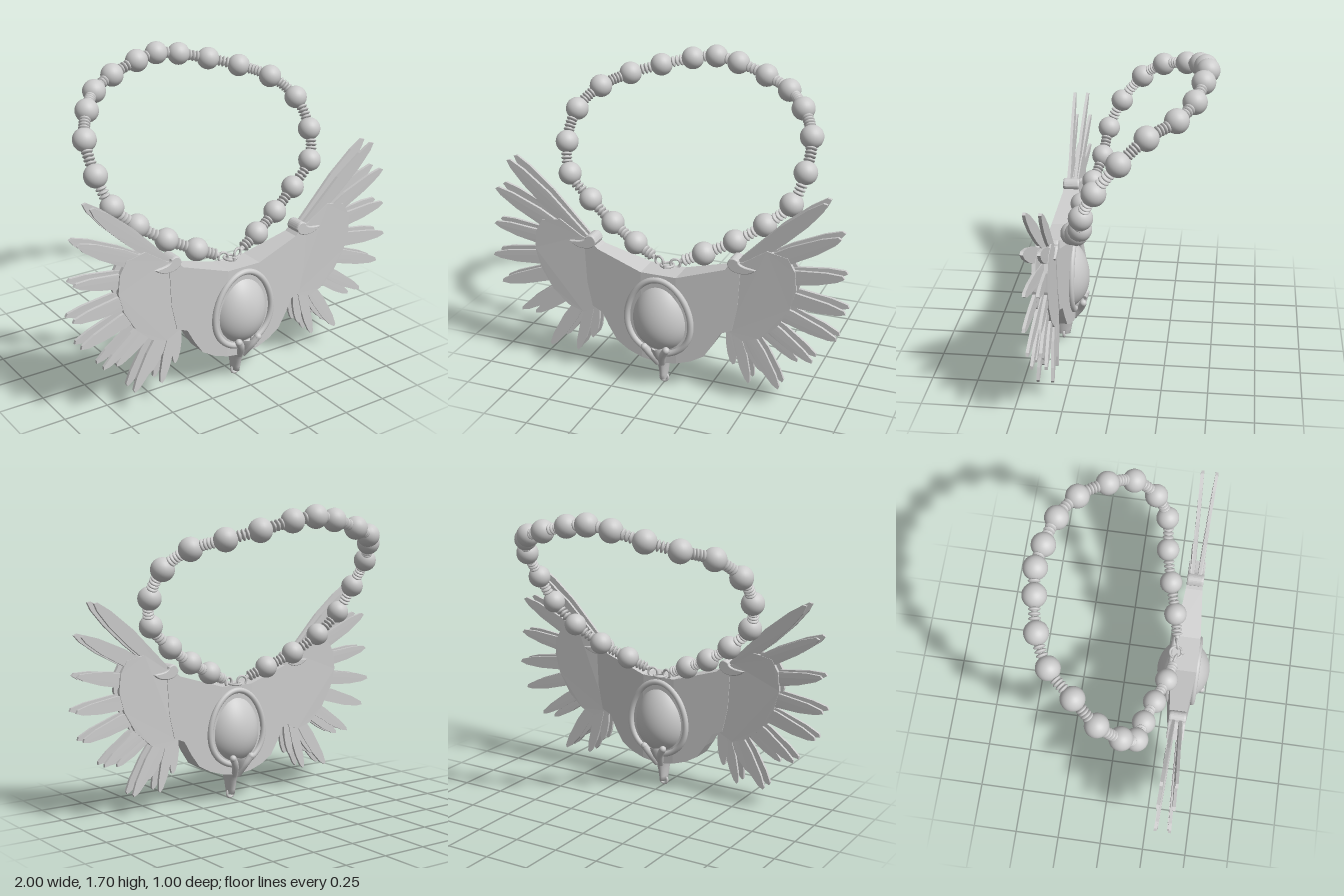
import * as THREE from 'three';

const Z = 0.348; // middle plane of the pendant
const mat = new THREE.MeshStandardMaterial({ color: 0xcccccc, side: THREE.DoubleSide });
const flat = new THREE.MeshStandardMaterial({ color: 0xcccccc, side: THREE.DoubleSide, flatShading: true });

function add(parent, name, geometry, material = mat) {
  const mesh = new THREE.Mesh(geometry, material);
  mesh.name = name;
  parent.add(mesh);
  return mesh;
}

// Extrudes an outline to unit depth, then sets each z by a rule
function plate(points, s, zRule) {
  const shape = new THREE.Shape(points.map(([x, y]) => new THREE.Vector2(x * s, y)));
  const geo = new THREE.ExtrudeGeometry(shape, { depth: 1, bevelEnabled: false });
  const p = geo.attributes.position;
  for (let i = 0; i < p.count; i++) {
    p.setZ(i, zRule(Math.abs(p.getX(i)), p.getY(i), p.getZ(i) * 2 - 1));
  }
  geo.computeVertexNormals();
  return geo;
}

// Tapered blade outline with a blunt tip
function featherOutline([rx, ry, tx, ty, w]) {
  const dx = tx - rx, dy = ty - ry, len = Math.hypot(dx, dy);
  const at = (t, k) => [rx + dx * t - (dy / len) * k * w, ry + dy * t + (dx / len) * k * w];
  return [at(0, -0.3), at(0.5, -0.5), at(0.75, -0.45), at(0.93, -0.26), at(1, -0.05),
    at(0.98, 0.16), at(0.84, 0.36), at(0.55, 0.5), at(0, 0.3)];
}

// Root x, root y, tip x, tip y, width
const FEATHERS = [
  [0.42, 0.77, 0.88, 1.19, 0.085], [0.42, 0.74, 0.96, 1.02, 0.085],
  [0.42, 0.71, 0.985, 0.81, 0.08], [0.43, 0.67, 1.0, 0.62, 0.08],
  [0.42, 0.63, 0.96, 0.46, 0.08], [0.42, 0.59, 0.84, 0.31, 0.07],
  [0.42, 0.55, 0.76, 0.3, 0.065], [0.41, 0.52, 0.665, 0.12, 0.075],
  [0.41, 0.48, 0.57, 0.2, 0.06], [0.4, 0.47, 0.5, 0.12, 0.06], [0.38, 0.45, 0.41, 0.21, 0.055],
];
const COVERT = [[0.38, 0.78], [0.46, 0.81], [0.58, 0.89], [0.69, 0.87], [0.73, 0.8], [0.74, 0.7],
  [0.71, 0.59], [0.64, 0.47], [0.55, 0.39], [0.46, 0.36], [0.38, 0.4]];

function wing(s) {
  const group = new THREE.Group();
  group.name = s > 0 ? 'leftWing' : 'rightWing';
  // Front and back layers spread apart toward the tips
  for (const side of [1, -1]) {
    const spread = (thick, step) => (x, y, e) =>
      Z + side * (0.012 + step + 0.038 * Math.hypot(x - 0.42, y - 0.65)) + e * thick;
    FEATHERS.forEach((f, i) =>
      add(group, 'feather', plate(featherOutline(f), s, spread(0.008, (i % 2) * 0.005)), flat));
    add(group, 'covert', plate(COVERT, s, spread(0.01, 0.006)), flat);
  }
  // Curled hook at the wing's wrist
  const hook = new THREE.Shape();
  hook.moveTo(0.375 * s, 0.79);
  hook.quadraticCurveTo(0.39 * s, 0.835, 0.425 * s, 0.81);
  hook.quadraticCurveTo(0.43 * s, 0.775, 0.52 * s, 0.775);
  hook.quadraticCurveTo(0.47 * s, 0.735, 0.405 * s, 0.755);
  hook.quadraticCurveTo(0.38 * s, 0.765, 0.375 * s, 0.79);
  const geo = new THREE.ExtrudeGeometry(hook,
    { depth: 0.07, bevelThickness: 0.012, bevelSize: 0.006, bevelSegments: 3, curveSegments: 8 });
  add(group, 'wristHook', geo.translate(0, 0, Z - 0.035));
  return group;
}

function body() {
  const group = new THREE.Group();
  group.name = 'body';
  const rule = (x, y, e) => Z + e * (x < 0.11 ? 0.073 : 0.073 - 0.1 * (x - 0.1));
  const half = [[0.1, 0.17], [0.18, 0.195], [0.25, 0.235], [0.3, 0.31], [0.34, 0.385], [0.4, 0.41],
    [0.43, 0.55], [0.44, 0.76], [0.41, 0.8], [0.36, 0.755], [0.1, 0.675]];
  add(group, 'chest', plate([[-0.1, 0.17], [0, 0.155], [0.1, 0.17], [0.1, 0.675], [-0.1, 0.675]], 1, rule), flat);
  for (const s of [1, -1]) add(group, 'shoulder', plate(half, s, rule), flat);
  return group;
}

// Egg-shaped half width at angle a, narrower at the top
const eggX = (a) => Math.cos(a) * (1 - 0.13 * Math.sin(a));

function gem() {
  const group = new THREE.Group();
  group.name = 'gem';
  const profile = [];
  for (let i = 0; i <= 32; i++) {
    const a = -Math.PI / 2 + (Math.PI * i) / 32;
    profile.push(new THREE.Vector2(Math.max(0, eggX(a)) * 0.167, Math.sin(a) * 0.21));
  }
  const egg = add(group, 'eggStone', new THREE.LatheGeometry(profile, 48));
  egg.scale.z = 0.9;
  egg.position.set(0, 0.425, Z);
  // Raised rims on both faces
  for (const side of [1, -1]) {
    const pts = [];
    for (let i = 0; i < 40; i++) {
      const a = (i / 40) * Math.PI * 2;
      pts.push(new THREE.Vector3(eggX(a) * 0.181, 0.43 + Math.sin(a) * 0.215, Z + side * 0.073));
    }
    add(group, 'rim', new THREE.TubeGeometry(new THREE.CatmullRomCurve3(pts, true), 80, 0.017, 10, true));
  }
  return group;
}

function tail() {
  const group = new THREE.Group();
  group.name = 'tail';
  // Flattened cup lofted from half width and half depth at each height
  const rows = [[0.03, 0.018, 0.036], [0.06, 0.021, 0.042], [0.11, 0.026, 0.052], [0.16, 0.034, 0.075],
    [0.2, 0.048, 0.105], [0.24, 0.058, 0.128], [0.262, 0.05, 0.135]];
  const sides = 20, pos = [], idx = [];
  rows.forEach(([y, rx, rz], j) => {
    for (let i = 0; i < sides; i++) {
      const a = (i / sides) * Math.PI * 2;
      pos.push(Math.cos(a) * rx, y, Z + Math.sin(a) * rz);
      if (!j) continue;
      const k = (i + 1) % sides, lo = (j - 1) * sides, hi = j * sides;
      idx.push(lo + i, hi + i, lo + k, lo + k, hi + i, hi + k);
    }
  });
  for (let i = 1; i < sides - 1; i++) idx.push(0, i, i + 1);
  const geo = new THREE.BufferGeometry();
  geo.setAttribute('position', new THREE.Float32BufferAttribute(pos, 3));
  geo.setIndex(idx);
  geo.computeVertexNormals();
  add(group, 'tailCup', geo);
  // Prongs that grip the stone, front and back
  for (const side of [1, -1]) for (const s of [1, -1]) {
    const curve = new THREE.CatmullRomCurve3([
      new THREE.Vector3(0.012 * s, 0.15, Z + side * 0.058),
      new THREE.Vector3(0.035 * s, 0.22, Z + side * 0.105),
      new THREE.Vector3(0.062 * s, 0.265, Z + side * 0.122)]);
    add(group, 'prong', new THREE.TubeGeometry(curve, 12, 0.02, 8));
    const end = add(group, 'prongTip', new THREE.SphereGeometry(0.02, 10, 8));
    end.position.copy(curve.getPoint(1));
  }
  add(group, 'tailRing', new THREE.TorusGeometry(0.022, 0.008, 8, 24)).position.set(0, 0.03, Z);
  return group;
}

function necklace() {
  const group = new THREE.Group();
  group.name = 'necklace';
  const half = [[0.135, 1.62, -0.42], [0.31, 1.575, -0.385], [0.465, 1.53, -0.305], [0.585, 1.48, -0.168],
    [0.672, 1.375, -0.04], [0.68, 1.22, 0.08], [0.632, 1.065, 0.152], [0.5, 0.94, 0.175],
    [0.35, 0.84, 0.215], [0.195, 0.765, 0.262], [0.075, 0.712, 0.29]];
  const right = half.map(([x, y, z]) => new THREE.Vector3(-x, y, z)).reverse();
  const left = half.map((p) => new THREE.Vector3(...p));
  const pts = [...right, new THREE.Vector3(0, 1.64, -0.437), ...left];
  const path = new THREE.CatmullRomCurve3(pts);
  add(group, 'cord', new THREE.TubeGeometry(path, 160, 0.014, 8));
  const bead = new THREE.SphereGeometry(0.063, 24, 16);
  const disc = new THREE.SphereGeometry(0.031, 14, 10).scale(1, 1, 0.36);
  const last = pts.length - 1;
  pts.forEach((p, i) => {
    if (i > 0 && i < last) add(group, 'bead', bead).position.copy(p);
    if (i === last) return;
    // Small spacer discs fill the gap to the next bead
    const length = p.distanceTo(pts[i + 1]);
    const from = i === 0 ? 0.012 : 0.058, to = length - (i === last - 1 ? 0.012 : 0.058);
    const count = Math.max(1, Math.round((to - from) / 0.02));
    for (let k = 0; k < count; k++) {
      const u = (i + (from + ((k + 0.5) / count) * (to - from)) / length) / last;
      const spacer = add(group, 'spacer', disc);
      spacer.position.copy(path.getPoint(u));
      spacer.lookAt(spacer.position.clone().add(path.getTangent(u)));
    }
  });
  // Linking rings above the stone
  const ring = new THREE.TorusGeometry(0.026, 0.007, 8, 24);
  for (const s of [1, -1]) {
    const link = add(group, 'linkRing', ring);
    link.position.set(0.046 * s, 0.695, 0.293);
    link.rotation.y = 0.3 * s;
  }
  const loop = add(group, 'hangerRing', new THREE.TorusGeometry(0.034, 0.007, 8, 24));
  loop.position.set(0, 0.68, 0.293);
  loop.rotation.x = Math.PI / 2;
  add(group, 'hangerPin', new THREE.CylinderGeometry(0.01, 0.01, 0.05, 10)).position.set(0, 0.67, 0.33);
  return group;
}

export function createModel() {
  const model = new THREE.Group();
  model.name = 'wingedPendantNecklace';
  model.add(body(), gem(), tail(), wing(1), wing(-1), necklace());
  return model;
}
